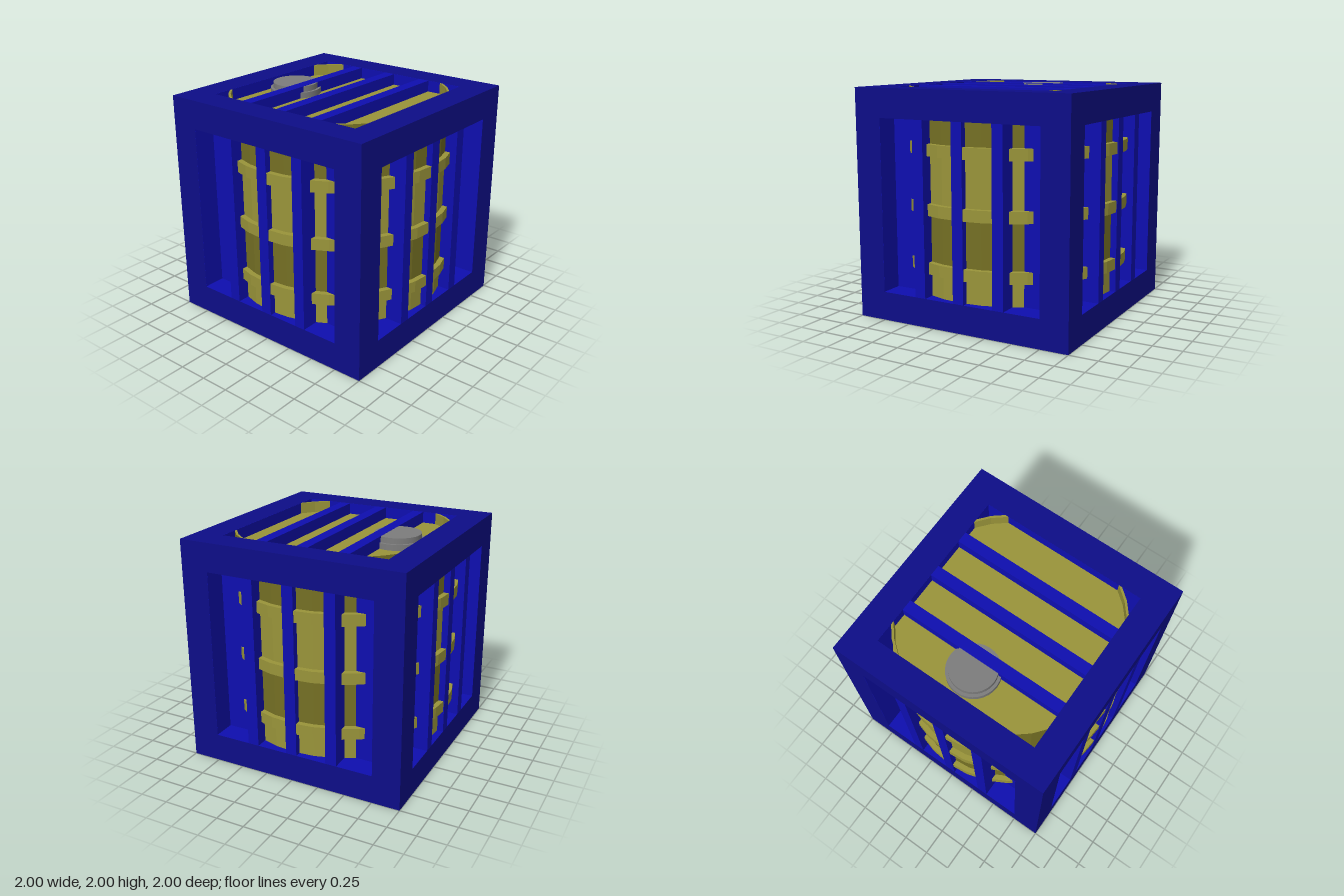
import * as THREE from 'three';

export function createModel() {
  const mat = (name, color, extra = {}) => {
    const m = new THREE.MeshStandardMaterial({ color, ...extra });
    m.name = name;
    return m;
  };
  const flat = { flatShading: true };
  const frameBlue = mat('frame blue', 0x0d0d88);
  const barBlue = mat('bar blue', 0x0e0eb0, { side: THREE.DoubleSide });
  const floorBlue = mat('floor blue', 0x0a0a70);
  const yellow = mat('barrel yellow', 0x9a953a, flat);
  const darkYellow = mat('barrel dark yellow', 0x757024, flat);
  const grey = mat('cap grey', 0x7d7d7d);

  const model = new THREE.Group();
  const add = (parent, name, geo, material, x = 0, y = 0, z = 0) => {
    const mesh = new THREE.Mesh(geo, material);
    mesh.name = name;
    mesh.position.set(x, y, z);
    parent.add(mesh);
    return mesh;
  };

  // Square outline with a square hole
  const squarePath = (Type, h) => new Type([[-h, -h], [h, -h], [h, h], [-h, h]].map(p => new THREE.Vector2(...p)));
  const squareRing = (outer, inner) => {
    const s = squarePath(THREE.Shape, outer);
    s.holes.push(squarePath(THREE.Path, inner));
    return s;
  };
  const faceGeo = new THREE.ShapeGeometry(squareRing(1, 0.75));
  const liningGeo = new THREE.ExtrudeGeometry(squareRing(0.8, 0.75), { depth: 0.199, bevelEnabled: false });
  const panelGeo = new THREE.PlaneGeometry(1.6, 1.6);
  const barGeo = new THREE.BoxGeometry(0.1, 1.5, 0.2);

  // Crate sides: outer face, opening lining, recessed panel and three bars
  const Q = Math.PI / 2;
  const sides = [
    ['front', 0, 0], ['left', 0, Q], ['back', 0, 2 * Q], ['right', 0, -Q],
    ['top', -Q, 0], ['bottom', Q, 0],
  ];
  for (const [name, rx, ry] of sides) {
    const side = new THREE.Group();
    side.name = name + 'Side';
    side.rotation.set(rx, ry, 0);
    side.position.y = 1;
    model.add(side);
    add(side, 'frameFace', faceGeo, frameBlue, 0, 0, 1);
    if (name === 'bottom') {
      add(side, 'floor', new THREE.BoxGeometry(1.5, 1.5, 0.05), floorBlue, 0, 0, 0.975);
      continue;
    }
    add(side, 'openingLining', liningGeo, barBlue, 0, 0, 0.8);
    if (name !== 'top') add(side, 'recessedPanel', panelGeo, barBlue, 0, 0, 0.8);
    for (const x of [-0.375, 0, 0.375]) add(side, 'bar', barGeo, barBlue, x, 0, 0.9);
  }

  // Barrel body in four bands, bulging through the panels
  const barrel = new THREE.Group();
  barrel.name = 'barrel';
  model.add(barrel);
  const lathe = pts => new THREE.LatheGeometry(pts.map(p => new THREE.Vector2(...p)), 32);
  const levels = [0.01, 0.5, 1, 1.5, 1.998];
  for (let i = 0; i < 4; i++) {
    add(barrel, 'barrelBand', lathe([[0.95, levels[i]], [0.95, levels[i + 1]]]), i % 2 ? darkYellow : yellow);
  }
  // Rim and sunken lid
  add(barrel, 'barrelLid', lathe([[0.95, 1.998], [0.93, 1.998], [0.93, 1.9], [0, 1.9]]), yellow);
  // Hoops
  const hoopGeo = lathe([[0.95, -0.05], [0.997, -0.05], [0.997, 0.05], [0.95, 0.05]]);
  for (const y of [0.5, 1, 1.5]) add(barrel, 'hoop', hoopGeo, yellow, 0, y, 0);
  // Stepped filler cap
  add(barrel, 'capBase', new THREE.CylinderGeometry(0.225, 0.225, 0.05, 32), grey, -0.5, 1.925, 0);
  add(barrel, 'capTop', new THREE.CylinderGeometry(0.2, 0.2, 0.05, 32), grey, -0.5, 1.974, 0);

  return model;
}
